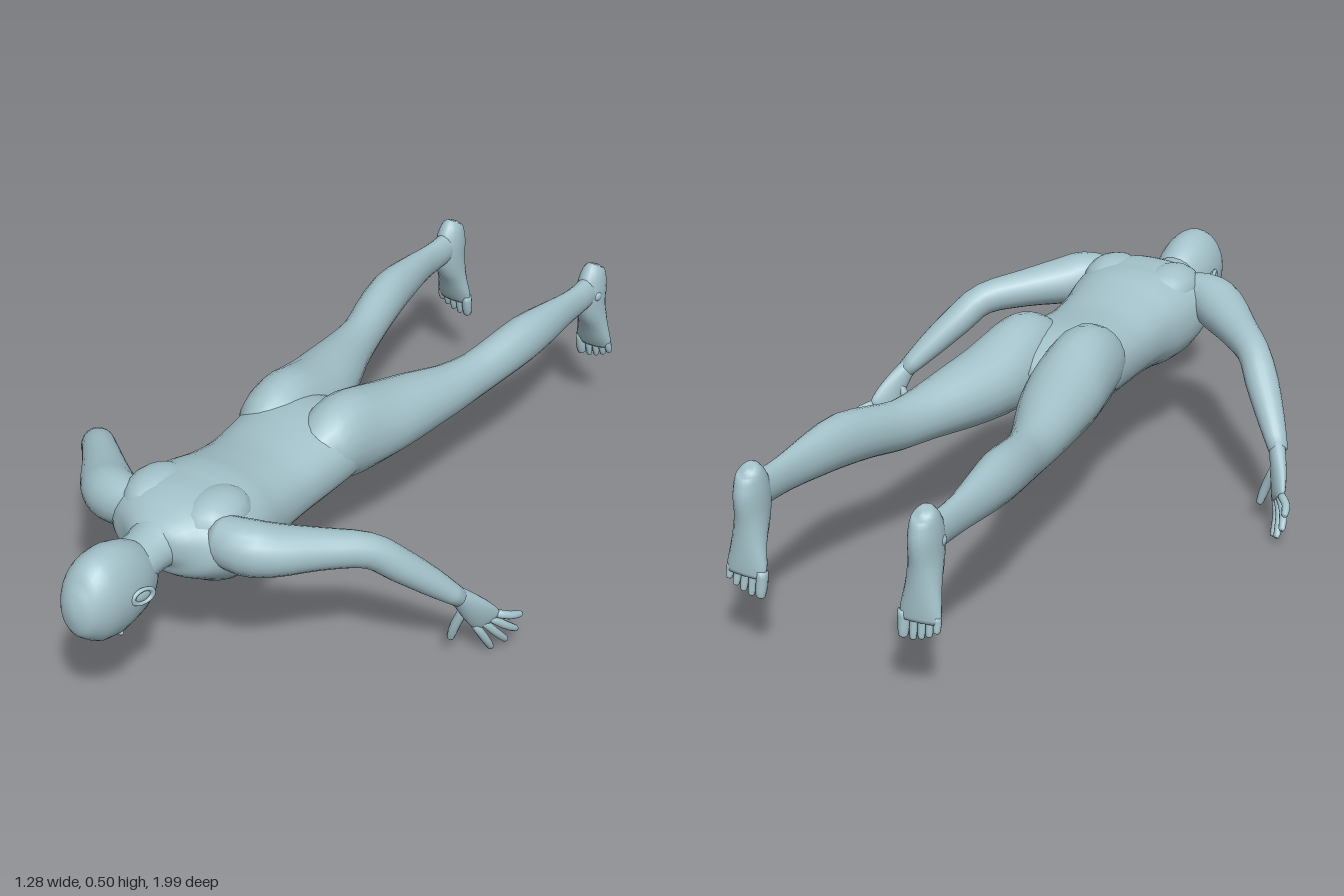
import * as THREE from 'three';

const skin = new THREE.MeshStandardMaterial({ color: 0xa3c1c9 });
skin.name = 'paleBlueSkin';

// Smooth loft through elliptical sections [x, y, z, halfWidth, halfDepth].
// "up" fixes which way the depth points; side = -1 mirrors across x.
function loft(name, rows, { side = 1, up = [0, 1, 0], sides = 20, steps = 3, square = 1 } = {}) {
  const path = new THREE.CatmullRomCurve3(
    rows.map(r => new THREE.Vector3(r[0] * side, r[1], r[2])), false, 'catmullrom', 0.5);
  const size = new THREE.CatmullRomCurve3(
    rows.map(r => new THREE.Vector3(r[3], r[4], 0)), false, 'catmullrom', 0.5);
  const upDir = new THREE.Vector3(up[0] * side, up[1], up[2]);
  const count = (rows.length - 1) * steps;
  const pos = [], index = [];
  const power = c => Math.sign(c) * Math.abs(c) ** square;
  for (let i = 0; i <= count; i++) {
    const p = path.getPoint(i / count), t = path.getTangent(i / count);
    const s = size.getPoint(i / count);
    const u = upDir.clone().cross(t).normalize();
    const v = t.clone().cross(u);
    for (let j = 0; j < sides; j++) {
      const a = j / sides * Math.PI * 2;
      const q = p.clone().addScaledVector(u, power(Math.cos(a)) * s.x)
        .addScaledVector(v, power(Math.sin(a)) * s.y);
      pos.push(q.x, q.y, q.z);
      if (i < count) {
        const k = i * sides, n = (j + 1) % sides;
        index.push(k + j, k + n, k + sides + j, k + n, k + sides + n, k + sides + j);
      }
    }
  }
  // End caps
  const start = pos.length / 3, last = count * sides;
  for (const t of [0, 1]) pos.push(...path.getPoint(t).toArray());
  for (let j = 0; j < sides; j++) {
    const n = (j + 1) % sides;
    index.push(start, n, j, start + 1, last + j, last + n);
  }
  const g = new THREE.BufferGeometry();
  g.setAttribute('position', new THREE.Float32BufferAttribute(pos, 3));
  g.setIndex(index);
  g.computeVertexNormals();
  const mesh = new THREE.Mesh(g, skin);
  mesh.name = name;
  return mesh;
}

function blob(name, x, y, z, rx, ry, rz) {
  const mesh = new THREE.Mesh(new THREE.SphereGeometry(1, 14, 10), skin);
  mesh.name = name;
  mesh.position.set(x, y, z);
  mesh.scale.set(rx, ry, rz);
  return mesh;
}

// Finger or toe with a rounded tip
function digit(name, from, mid, to, r, side, up) {
  const tip = to.map((c, i) => c + (to[i] - mid[i]) * 0.12);
  return loft(name, [[...from, r, r], [...mid, r, r], [...to, r * 0.8, r * 0.8],
    [...tip, r * 0.25, r * 0.25]], { side, up, sides: 10, steps: 2 });
}

function createHead() {
  const head = new THREE.Group();
  head.name = 'head';
  head.add(loft('skull', [
    [0, 0.375, 0.995, 0.01, 0.015], [0, 0.374, 0.985, 0.037, 0.05],
    [0, 0.372, 0.965, 0.058, 0.08], [0, 0.371, 0.93, 0.075, 0.106],
    [0, 0.37, 0.88, 0.081, 0.115], [0, 0.36, 0.83, 0.078, 0.107],
    [0, 0.343, 0.79, 0.067, 0.092], [0, 0.325, 0.757, 0.05, 0.068],
    [0, 0.312, 0.738, 0.03, 0.04]], { sides: 28 }));
  head.add(loft('nose', [
    [0, 0.268, 0.885, 0.006, 0.008], [0, 0.258, 0.86, 0.009, 0.012],
    [0, 0.248, 0.838, 0.013, 0.014], [0, 0.252, 0.826, 0.012, 0.009]], { sides: 12 }));
  head.add(blob('upperLip', 0, 0.254, 0.804, 0.022, 0.008, 0.006));
  head.add(blob('lowerLip', 0, 0.256, 0.794, 0.019, 0.008, 0.006));
  head.add(blob('chin', 0, 0.268, 0.766, 0.026, 0.016, 0.018));
  for (const s of [1, -1]) {
    head.add(blob('eye', s * 0.032, 0.278, 0.867, 0.015, 0.012, 0.01));
    head.add(blob('brow', s * 0.033, 0.276, 0.886, 0.022, 0.01, 0.007));
    // Ear: flat shell with a raised rim
    const ear = new THREE.Group();
    ear.name = 'ear';
    const rim = new THREE.Mesh(new THREE.TorusGeometry(0.021, 0.0055, 8, 18), skin);
    rim.name = 'earRim';
    rim.scale.set(1.3, 0.85, 1);
    ear.add(rim, blob('earShell', 0, 0, -0.006, 0.025, 0.017, 0.008));
    ear.position.set(s * 0.087, 0.372, 0.85);
    ear.rotation.y = s * (Math.PI / 2 - 0.3);
    head.add(ear);
  }
  return head;
}

function createArm(side) {
  const arm = new THREE.Group();
  arm.name = side > 0 ? 'leftArm' : 'rightArm';
  arm.add(loft('armShaft', [
    [0.11, 0.412, 0.615, 0.05, 0.06], [0.19, 0.408, 0.605, 0.065, 0.068],
    [0.245, 0.398, 0.565, 0.066, 0.062], [0.32, 0.388, 0.49, 0.052, 0.05],
    [0.4, 0.37, 0.41, 0.042, 0.043], [0.45, 0.318, 0.355, 0.043, 0.041],
    [0.505, 0.252, 0.292, 0.035, 0.034], [0.55, 0.195, 0.24, 0.025, 0.023]], { side }));
  // Hand, spread flat with the fingers fanned out
  const up = [-0.8, 0.2, -0.57];
  arm.add(loft('palm', [
    [0.54, 0.208, 0.25, 0.022, 0.02], [0.553, 0.185, 0.23, 0.027, 0.02],
    [0.57, 0.145, 0.2, 0.036, 0.018], [0.582, 0.11, 0.174, 0.039, 0.014],
    [0.587, 0.097, 0.165, 0.034, 0.009]], { side, up }));
  const tips = [[0.585, 0.008, 0.145], [0.607, 0.022, 0.115],
    [0.626, 0.052, 0.1], [0.634, 0.095, 0.094]];
  tips.forEach((tip, i) => {
    const k = (i - 1.5) * 0.02;
    const base = [0.584 + k * 0.6, 0.105 + k * 0.36, 0.171 - k * 0.72];
    const mid = base.map((c, a) => (c + tip[a]) / 2 + [0.006, 0, 0.004][a]);
    arm.add(digit('finger', base, mid, tip, 0.0105, side, up));
  });
  arm.add(digit('thumb', [0.553, 0.155, 0.215], [0.53, 0.1, 0.22],
    [0.515, 0.052, 0.218], 0.0125, side, up));
  return arm;
}

function createLeg(side) {
  const leg = new THREE.Group();
  leg.name = side > 0 ? 'leftLeg' : 'rightLeg';
  // Buttock, thigh, knee and calf
  leg.add(loft('legShaft', [
    [0.075, 0.39, 0.2, 0.04, 0.045], [0.083, 0.394, 0.14, 0.08, 0.087],
    [0.088, 0.394, 0.07, 0.09, 0.111], [0.094, 0.384, 0, 0.095, 0.108],
    [0.107, 0.373, -0.09, 0.098, 0.094], [0.13, 0.367, -0.2, 0.085, 0.082],
    [0.157, 0.362, -0.31, 0.066, 0.068], [0.176, 0.364, -0.41, 0.052, 0.063],
    [0.195, 0.38, -0.5, 0.053, 0.063], [0.212, 0.395, -0.6, 0.052, 0.066],
    [0.221, 0.397, -0.7, 0.042, 0.058], [0.226, 0.396, -0.8, 0.029, 0.048],
    [0.227, 0.396, -0.87, 0.028, 0.044], [0.227, 0.4, -0.94, 0.03, 0.045]], { side, steps: 2 }));
  // Foot hanging toes down, sole facing back
  const up = [0, 0, 1];
  leg.add(loft('foot', [
    [0.227, 0.467, -0.955, 0.012, 0.015], [0.227, 0.455, -0.95, 0.028, 0.036],
    [0.227, 0.41, -0.943, 0.036, 0.054], [0.227, 0.35, -0.944, 0.037, 0.05],
    [0.228, 0.29, -0.96, 0.043, 0.033], [0.228, 0.235, -0.973, 0.052, 0.021],
    [0.229, 0.21, -0.979, 0.05, 0.014]], { side, up }));
  for (let i = 0; i < 5; i++) {
    const x = [0.186, 0.211, 0.232, 0.252, 0.271][i];
    const y = [0.168, 0.168, 0.174, 0.183, 0.195][i];
    leg.add(digit('toe', [x, 0.228, -0.976], [x + 0.001, (y + 0.228) / 2, -0.978],
      [x + 0.002, y, -0.984], i ? 0.0095 : 0.014, side, up));
  }
  leg.add(blob('ankleBone', side * 0.254, 0.39, -0.925, 0.012, 0.015, 0.015));
  return leg;
}

export function createModel() {
  const model = new THREE.Group();
  model.name = 'proneFigure';
  model.add(loft('torso', [
    [0, 0.4, 0.715, 0.055, 0.04], [0, 0.4, 0.69, 0.105, 0.065],
    [0, 0.395, 0.66, 0.155, 0.09], [0, 0.385, 0.6, 0.183, 0.114],
    [0, 0.37, 0.54, 0.183, 0.127], [0, 0.364, 0.47, 0.172, 0.127],
    [0, 0.362, 0.4, 0.158, 0.113], [0, 0.36, 0.3, 0.154, 0.1],
    [0, 0.365, 0.2, 0.161, 0.099], [0, 0.373, 0.1, 0.168, 0.098],
    [0, 0.366, 0.03, 0.155, 0.086], [0, 0.345, -0.04, 0.1, 0.06]],
  { sides: 32, square: 0.88 }));
  model.add(loft('neck', [
    [0, 0.385, 0.83, 0.055, 0.05], [0, 0.388, 0.77, 0.06, 0.054],
    [0, 0.394, 0.71, 0.064, 0.058], [0, 0.398, 0.65, 0.09, 0.075]]));
  model.add(createHead());
  for (const side of [1, -1]) {
    model.add(blob('shoulderBlade', side * 0.085, 0.44, 0.57, 0.075, 0.06, 0.1));
    model.add(createArm(side), createLeg(side));
  }
  return model;
}
